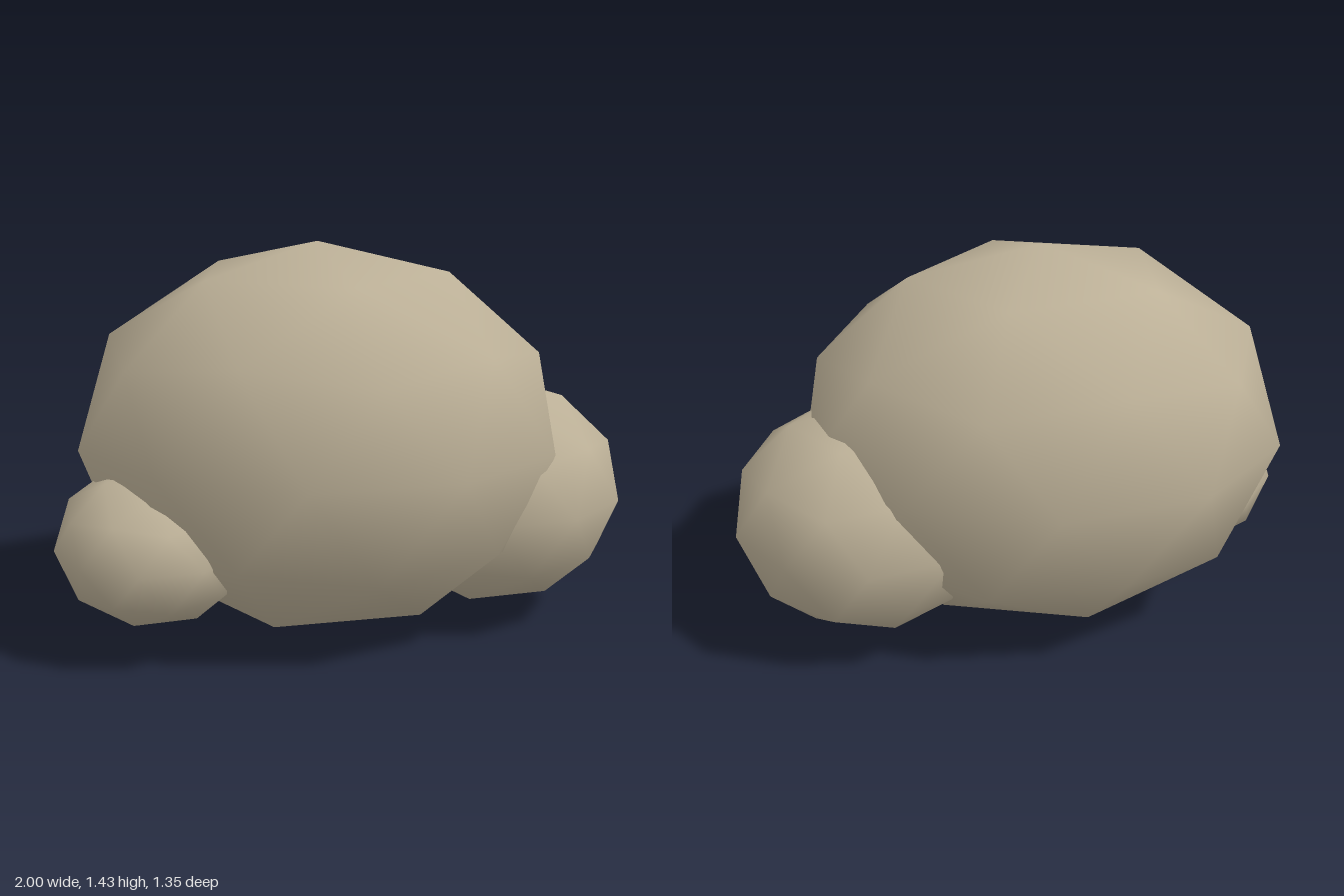
import * as THREE from 'three';

// Unit icosphere with its poles on the y axis, one subdivision, smooth normals
function icosphere() {
  const y = 1 / Math.sqrt(5), r = 2 * y;
  const verts = [0, 1, 0];
  const faces = [];
  for (const [h, offset] of [[y, 0], [-y, Math.PI / 5]]) {
    for (let k = 0; k < 5; k++) {
      const a = k * Math.PI * 0.4 + offset;
      verts.push(r * Math.cos(a), h, -r * Math.sin(a));
    }
  }
  verts.push(0, -1, 0);
  for (let k = 0; k < 5; k++) {
    const n = (k + 1) % 5;
    const u = 1 + k, un = 1 + n, l = 6 + k, ln = 6 + n;
    faces.push(0, u, un, u, l, un, l, ln, un, 11, ln, l);
  }
  return new THREE.PolyhedronGeometry(verts, faces, 1, 1);
}

export function createModel() {
  const group = new THREE.Group();
  group.name = 'boulderCluster';

  const stone = new THREE.MeshStandardMaterial({ color: 0xbcb097 });
  stone.name = 'warm grey stone';

  // name, centre, radii
  const boulders = [
    ['mainBoulder', [-0.095, 0.718, 0], [0.88, 0.713, 0.673]],
    ['leftBoulder', [0.54, 0.487, -0.133], [0.484, 0.422, 0.455]],
    ['rightBoulder', [-0.66, 0.4, 0.247], [0.358, 0.29, 0.379]],
  ];
  for (const [name, centre, radii] of boulders) {
    const mesh = new THREE.Mesh(icosphere().scale(...radii), stone);
    mesh.name = name;
    mesh.position.set(...centre);
    group.add(mesh);
  }
  return group;
}
